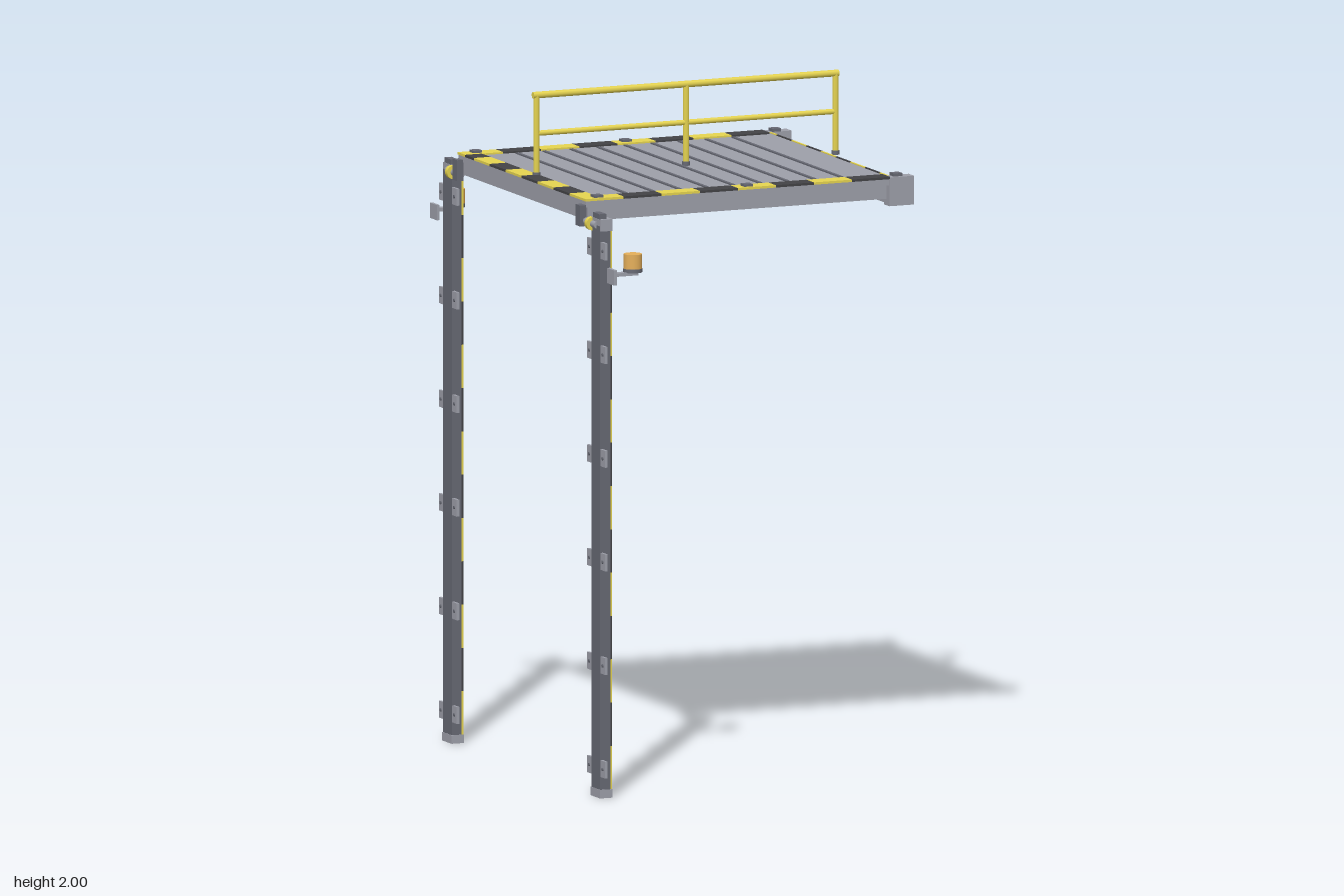
import * as THREE from 'three';

const mat = (name, color) => {
  const m = new THREE.MeshStandardMaterial({ color });
  m.name = name;
  return m;
};

export function createModel() {
  const root = new THREE.Group();
  root.name = 'liftingPlatform';
  const grey = mat('light grey steel', 0x9d9fa9);
  const steel = mat('dark grey steel', 0x676973);
  const black = mat('hazard black', 0x434346);
  const yellow = mat('hazard yellow', 0xe6d450);
  const amber = mat('beacon amber', 0xe5af5a);

  const group = (name, parent = root) => {
    const g = new THREE.Group();
    g.name = name;
    parent.add(g);
    return g;
  };
  // Box given by its lower and upper limits on each axis
  const box = (parent, name, m, x0, x1, y0, y1, z0, z1) => {
    const mesh = new THREE.Mesh(new THREE.BoxGeometry(Math.abs(x1 - x0), y1 - y0, Math.abs(z1 - z0)), m);
    mesh.position.set((x0 + x1) / 2, (y0 + y1) / 2, (z0 + z1) / 2);
    mesh.name = name;
    parent.add(mesh);
    return mesh;
  };
  // Round bar between two points
  const rod = (parent, name, m, a, b, r, sides = 16) => {
    const p = new THREE.Vector3(...a), q = new THREE.Vector3(...b), d = q.clone().sub(p);
    const mesh = new THREE.Mesh(new THREE.CylinderGeometry(r, r, d.length(), sides), m);
    mesh.position.copy(p).add(q).multiplyScalar(0.5);
    mesh.quaternion.setFromUnitVectors(new THREE.Vector3(0, 1, 0), d.normalize());
    mesh.name = name;
    parent.add(mesh);
    return mesh;
  };
  // Alternating bands from lo to hi, first band starting at origin
  const bands = (lo, hi, origin, step, first, draw) => {
    for (let i = 0, a = origin; a < hi - 1e-4; i++, a += step) {
      const s = Math.max(a, lo), e = Math.min(a + step, hi);
      if (e > s) draw(s, e, (i + first) % 2 ? black : yellow);
    }
  };

  // Deck plate, underside and frame
  const deck = group('deck');
  box(deck, 'deckPlate', grey, -0.513, 0.465, 1.73, 1.75, -0.456, 0.456);
  box(deck, 'rearBeam', grey, -0.505, -0.48, 1.69, 1.73, -0.45, 0.45);
  box(deck, 'frontBeam', grey, 0.44, 0.465, 1.69, 1.73, -0.42, 0.42);
  box(deck, 'centreRib', grey, -0.48, 0.44, 1.7, 1.73, -0.0125, 0.0125);
  for (const x of [-0.25, -0.02, 0.21]) {
    box(deck, 'crossRib', grey, x - 0.012, x + 0.012, 1.705, 1.73, -0.43, 0.43);
  }
  for (let i = 0; i < 9; i++) {
    const x = -0.356 + i * 0.0862;
    box(deck, 'treadStrip', steel, x - 0.005, x + 0.005, 1.75, 1.754, -0.388, 0.388);
  }

  // Loading ledge between end cheeks
  box(deck, 'ledge', grey, 0.465, 0.533, 1.67, 1.705, -0.42, 0.42);

  // Hazard borders
  const hazard = group('hazardBorder', deck);
  bands(-0.404, 0.404, -0.456, 0.114, 1, (a, b, m) =>
    box(hazard, 'rearStripe', m, -0.515, -0.462, 1.748, 1.755, a, b));
  bands(-0.42, 0.42, -0.474, 0.105, 0, (a, b, m) =>
    box(hazard, 'edgeStripe', m, 0.464, 0.47, 1.71, 1.753, a, b));

  for (const s of [-1, 1]) {
    box(deck, 'sideBeam', grey, -0.505, 0.447, 1.69, 1.73, s * 0.43, s * 0.453);
    box(deck, 'ledgeCheek', grey, 0.455, 0.534, 1.668, 1.753, s * 0.418, s * 0.457);
    bands(-0.515, 0.457, -0.515, 0.1215, 0, (a, b, m) =>
      box(hazard, 'sideStripe', m, a, b, 1.748, 1.755, s * 0.404, s * 0.457));
    for (const x of [-0.468, 0.01, 0.487]) {
      box(deck, 'railSocket', steel, x - 0.014, x + 0.014, 1.75, 1.762, s * 0.419, s * 0.447);
    }
    box(deck, 'hingeLug', steel, -0.532, -0.512, 1.675, 1.737, s * 0.423, s * 0.455);
  }

  // Guard rail along the middle
  const guard = group('guardRail');
  for (const x of [-0.468, 0.01, 0.487]) {
    rod(guard, 'railPost', yellow, [x, 1.75, 0], [x, 1.992, 0], 0.0095, 8);
    rod(guard, 'railFoot', steel, [x, 1.75, 0], [x, 1.762, 0], 0.012);
  }
  rod(guard, 'topRail', yellow, [-0.479, 1.99, 0], [0.496, 1.99, 0], 0.01, 8);
  rod(guard, 'midRail', yellow, [-0.468, 1.877, 0], [0.487, 1.877, 0], 0.008, 8);

  // Mirrored columns with hinges and beacons
  for (const s of [-1, 1]) {
    const col = group(s > 0 ? 'leftColumn' : 'rightColumn');
    const zc = s * 0.53;
    box(col, 'columnBack', steel, -0.515, -0.505, 0, 1.69, zc - 0.031, zc + 0.031);
    box(col, 'columnCore', steel, -0.505, -0.483, 0.02, 1.69, zc - 0.023, zc + 0.023);
    box(col, 'foot', grey, -0.517, -0.477, 0, 0.025, zc - 0.034, zc + 0.034);
    for (const t of [-1, 1]) {
      const inner = zc + t * 0.023, outer = zc + t * 0.032;
      box(col, 'columnFlange', steel, -0.505, -0.482, 0, 1.69, inner, outer);
      bands(0.025, 1.69, 0.025, 0.128, 0, (a, b, m) =>
        box(col, 'columnStripe', m, -0.484, -0.478, a, b, inner, outer));
      // Wall clips with bolts
      for (let i = 0; i < 6; i++) {
        const y = 0.088 + i * 0.3063, z = zc + t * 0.048;
        box(col, 'wallClip', grey, -0.514, -0.506, y - 0.025, y + 0.025, zc + t * 0.029, zc + t * 0.064);
        rod(col, 'clipBolt', steel, [-0.517, y, z], [-0.502, y, z], 0.005, 8);
      }
    }

    // Hinge head
    box(col, 'headPlate', steel, -0.482, -0.474, 1.57, 1.69, zc - 0.02, zc + 0.02);
    box(col, 'headBlock', grey, -0.515, -0.476, 1.675, 1.71, zc - 0.033, zc + 0.033);
    box(col, 'headCap', steel, -0.514, -0.492, 1.71, 1.725, zc - 0.023, zc + 0.023);
    rod(col, 'hingePin', grey, [-0.512, 1.69, s * 0.44], [-0.512, 1.69, s * 0.535], 0.011);
    rod(col, 'hingeCollar', yellow, [-0.514, 1.69, s * 0.49], [-0.514, 1.69, s * 0.506], 0.02);

    // Warning beacon on its bracket
    const beacon = group('beacon', col);
    const zb = s * 0.633;
    box(beacon, 'bracketPlate', grey, -0.514, -0.505, 1.53, 1.575, zb - 0.025, zb + 0.025);
    box(beacon, 'bracketArm', grey, -0.505, -0.43, 1.553, 1.563, zb - 0.012, zb + 0.012);
    rod(beacon, 'beaconBase', steel, [-0.443, 1.562, zb], [-0.443, 1.573, zb], 0.028, 20);
    rod(beacon, 'beaconLens', amber, [-0.443, 1.573, zb], [-0.443, 1.616, zb], 0.027, 20);
  }
  return root;
}
